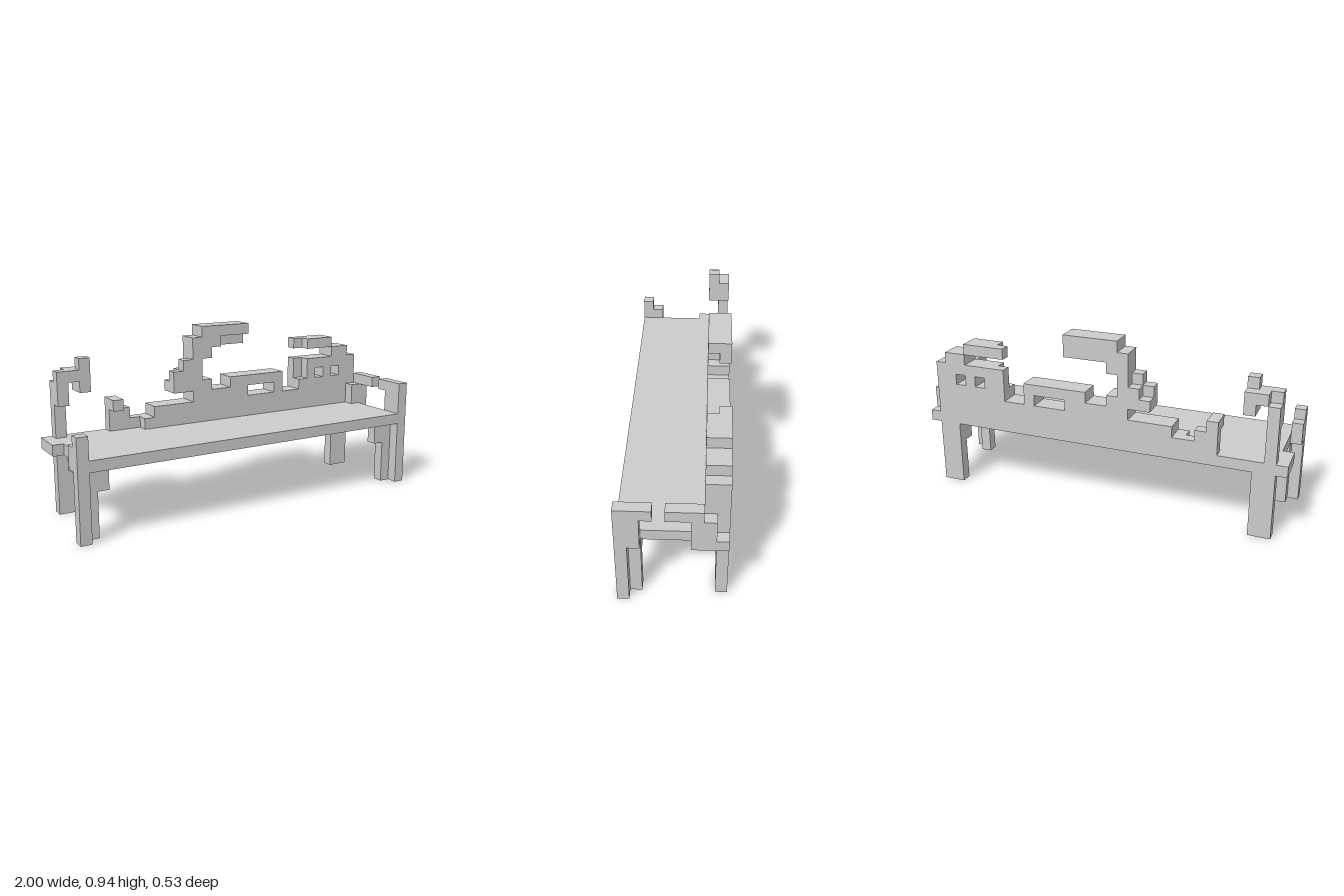
import * as THREE from 'three';

// Everything sits on a cubic grid: 34 x 16 x 9 cells, cell (0,0,0) at left-bottom-back.
const U = 2 / 34;
const material = new THREE.MeshStandardMaterial({ color: 0xcccccc, flatShading: true });

// Adds one block spanning cells [x0,x1) [y0,y1) [z0,z1).
function block(group, name, [x0, x1, y0, y1, z0, z1]) {
  const geometry = new THREE.BoxGeometry((x1 - x0) * U, (y1 - y0) * U, (z1 - z0) * U);
  const mesh = new THREE.Mesh(geometry, material);
  mesh.name = name;
  mesh.position.set(((x0 + x1) / 2 - 17) * U, ((y0 + y1) / 2) * U, ((z0 + z1) / 2 - 4.5) * U);
  group.add(mesh);
}

function part(parent, name, blocks) {
  const group = new THREE.Group();
  group.name = name;
  blocks.forEach((b, i) => block(group, `${name}Block${i + 1}`, b));
  parent.add(group);
}

const mirror = ([x0, x1, ...rest]) => [34 - x1, 34 - x0, ...rest];

export function createModel() {
  const model = new THREE.Group();
  model.name = 'bench';

  // Seat slab with a notch in the middle of each end
  const seatEnds = [[0, 1, 6, 7, 0, 3], [0, 1, 6, 7, 7, 9]];
  part(model, 'seat', [[1, 33, 6, 7, 0, 9], ...seatEnds, ...seatEnds.map(mirror)]);

  // Legs with stepped brackets, mirrored
  const frontLeg = [[0, 1, 0, 6, 8, 9], [1, 2, 0, 6, 7, 8], [2, 3, 4, 6, 7, 8]];
  const backLeg = [[1, 3, 0, 6, 0, 1], [2, 3, 4, 6, 1, 2]];
  part(model, 'rightFrontLeg', frontLeg);
  part(model, 'rightBackLeg', backLeg);
  part(model, 'leftFrontLeg', frontLeg.map(mirror));
  part(model, 'leftBackLeg', backLeg.map(mirror));

  // Broken front post on the right
  part(model, 'rightArmPost', [[0, 1, 7, 9, 8, 9], [0, 1, 7, 8, 7, 8]]);

  // Left armrest with a gap
  part(model, 'leftArmrest', [
    [33, 34, 7, 10, 7, 9], [33, 34, 9, 10, 6, 7],
    [33, 34, 7, 9, 1, 3], [33, 34, 9, 10, 2, 5], [32, 33, 7, 9, 2, 3],
  ]);

  // Right back post with a hooked head
  part(model, 'rightBackPost', [
    [1, 2, 7, 12, 0, 1], [1, 2, 10, 13, 1, 2], [2, 3, 12, 13, 0, 2],
    [3, 4, 11, 13, 0, 2], [3, 4, 13, 14, 1, 2],
  ]);

  // Stump beside the back rest
  part(model, 'backStump', [
    [6, 7, 7, 9, 0, 1], [6, 7, 9, 10, 0, 2], [7, 8, 7, 9, 0, 1], [8, 9, 7, 8, 0, 1],
  ]);

  // Solid lower back rest with a slot under the rail
  part(model, 'backRest', [
    [9, 10, 7, 8, 0, 2], [10, 33, 7, 9, 0, 2],
    [14, 20, 9, 10, 0, 2], [23, 24, 9, 10, 0, 2], [18, 24, 10, 11, 0, 2],
  ]);

  // Curved middle scroll
  part(model, 'middleScroll', [
    [12, 13, 10, 11, 0, 2], [12, 13, 11, 12, 1, 2],
    [13, 14, 10, 12, 0, 2], [13, 14, 12, 13, 1, 2],
    [14, 15, 10, 15, 0, 2], [15, 16, 10, 11, 0, 2], [15, 16, 13, 16, 0, 2],
    [16, 17, 14, 16, 0, 2], [17, 20, 14, 15, 0, 1], [17, 20, 15, 16, 0, 2],
  ]);

  // Pierced left panel, its post and the loose top rail
  part(model, 'leftPanel', [
    [26, 32, 9, 10, 0, 2], [26, 27, 10, 12, 0, 1], [27, 28, 10, 12, 0, 2],
    [28, 29, 11, 12, 0, 2], [29, 30, 10, 12, 0, 2], [30, 31, 11, 12, 0, 2],
    [31, 32, 10, 12, 0, 2], [30, 32, 12, 13, 0, 2], [32, 33, 9, 12, 0, 2],
  ]);
  part(model, 'topRail', [[26, 27, 13, 14, 0, 1], [27, 30, 13, 14, 0, 2]]);

  return model;
}
